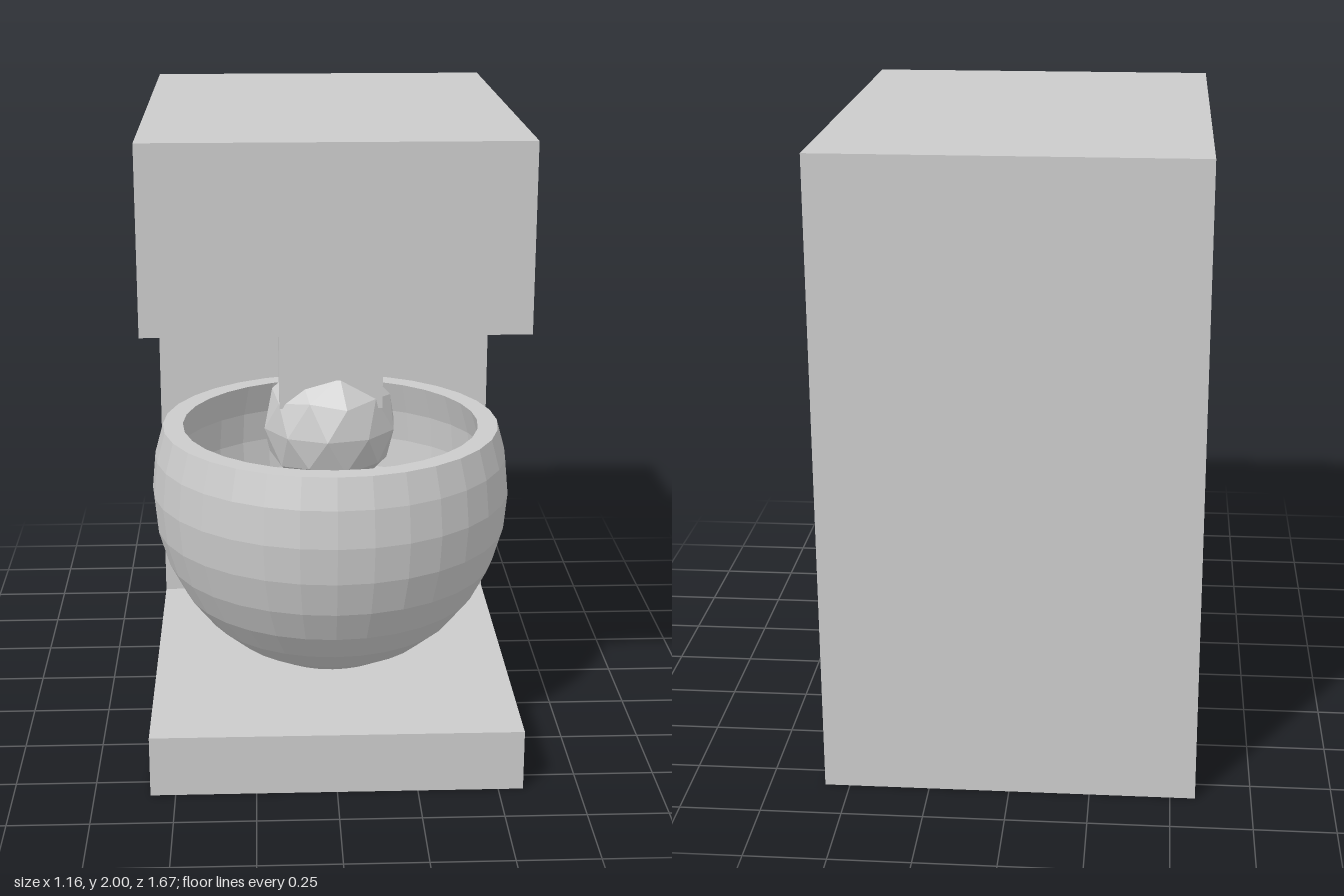
import * as THREE from 'three';

const material = new THREE.MeshStandardMaterial({ color: 0xcccccc, flatShading: true });

function addPart(group, name, geometry, x = 0, y = 0, z = 0) {
  const mesh = new THREE.Mesh(geometry, material);
  mesh.name = name;
  mesh.position.set(x, y, z);
  group.add(mesh);
}

// C-shaped stand: side profile (z, y) extruded across the width
function standGeometry(width) {
  const profile = [
    [-0.835, 0], [0.835, 0], [0.835, 0.195], [-0.323, 0.195],
    [-0.323, 1.43], [0.717, 1.43], [0.717, 2], [-0.835, 2],
  ];
  const shape = new THREE.Shape(profile.map(([z, y]) => new THREE.Vector2(z, y)));
  const geometry = new THREE.ExtrudeGeometry(shape, { depth: width, bevelEnabled: false });
  return geometry.rotateY(-Math.PI / 2).translate(width / 2, 0, 0);
}

// Thick-walled bowl: outer wall up to the rim, then the inner wall back down
function bowlGeometry(radius, height, wall, rimY) {
  const wallProfile = (r, h) => {
    const points = [];
    for (let i = 0; i <= 9; i++) {
      const a = -Math.PI / 2 + (i * Math.PI) / 16;
      points.push(new THREE.Vector2(i === 0 ? 0 : r * Math.cos(a), h * Math.sin(a)));
    }
    points.push(new THREE.Vector2(r * Math.sqrt(1 - (rimY / h) ** 2), rimY));
    return points;
  };
  const outer = wallProfile(radius, height);
  const inner = wallProfile(radius - wall, height - wall).reverse();
  return new THREE.LatheGeometry([...outer, ...inner], 32);
}

// Faceted ball with a vertex at the top
function ballGeometry(radius) {
  const phi = (1 + Math.sqrt(5)) / 2;
  return new THREE.IcosahedronGeometry(radius, 1).rotateX(-Math.atan(phi)).rotateY(0.25);
}

export function createModel() {
  const group = new THREE.Group();
  group.name = 'mixer';
  addPart(group, 'stand', standGeometry(1.155));
  addPart(group, 'bowl', bowlGeometry(0.578, 0.605, 0.06, 0.215), 0, 0.805, 0.257);
  // Shaft runs from the head into the ball
  addPart(group, 'shaft', new THREE.BoxGeometry(0.33, 0.35, 0.22), 0, 1.255, 0.2);
  addPart(group, 'beater', ballGeometry(0.22), 0, 0.995, 0.19);
  return group;
}
